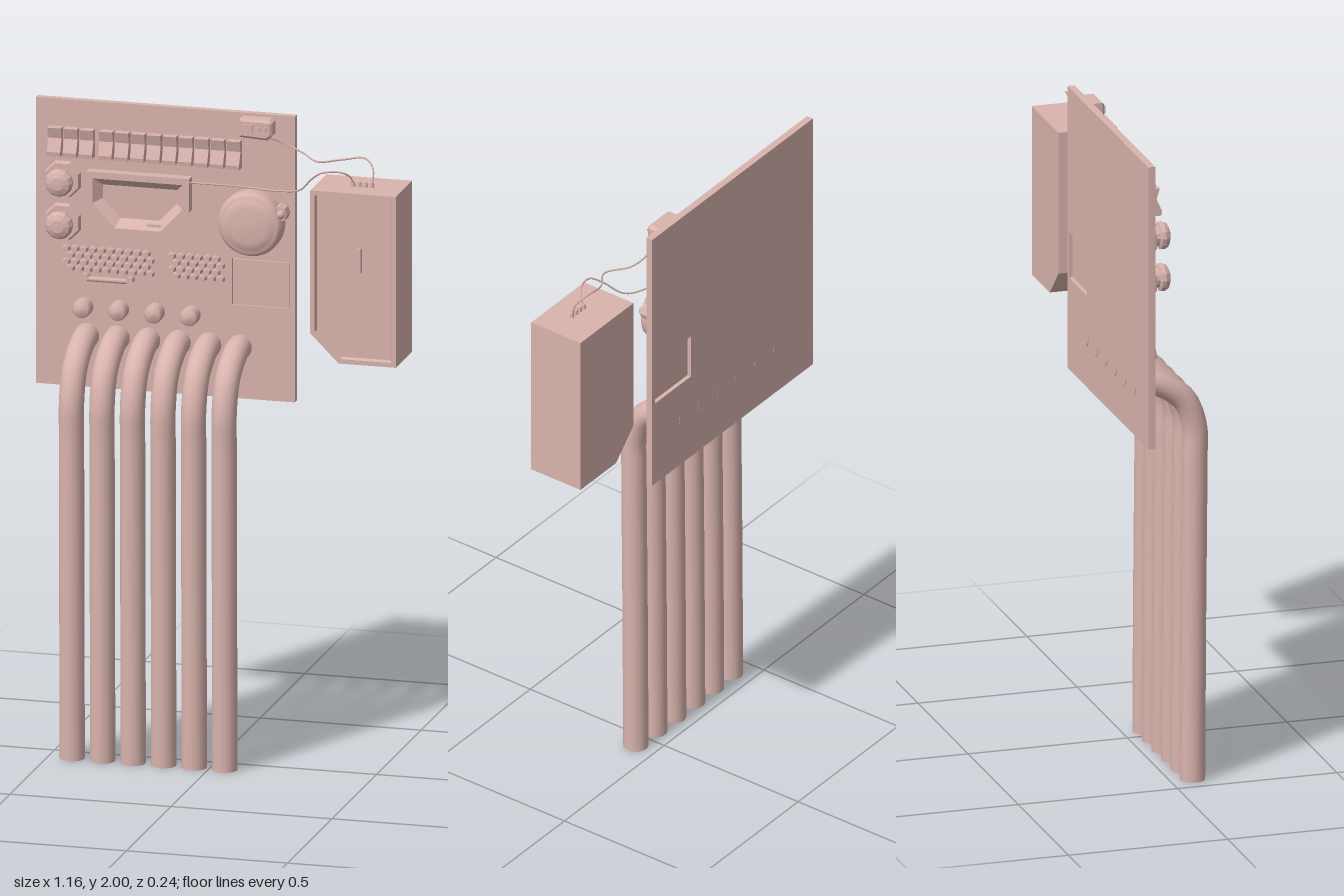
import * as THREE from 'three';

const mat = new THREE.MeshStandardMaterial({ color: 0xd9b3ad });
const flat = new THREE.MeshStandardMaterial({ color: 0xd9b3ad, flatShading: true });
const FACE = -0.097; // z of the panel front
const V = (x, y, z) => new THREE.Vector3(x, y, z);

function add(parent, name, geo, x = 0, y = 0, z = 0, m = mat) {
  const mesh = new THREE.Mesh(geo, m);
  mesh.name = name;
  mesh.position.set(x, y, z);
  parent.add(mesh);
  return mesh;
}

function group(parent, name) {
  const g = new THREE.Group();
  g.name = name;
  parent.add(g);
  return g;
}

// Shrinks a convex counter-clockwise outline by d
function inset(pts, d) {
  const n = pts.length;
  return pts.map((p, i) => {
    const a = pts[(i + n - 1) % n], b = pts[(i + 1) % n];
    const u = new THREE.Vector2(p[0] - a[0], p[1] - a[1]).normalize();
    const v = new THREE.Vector2(b[0] - p[0], b[1] - p[1]).normalize();
    const k = d / (1 + u.dot(v));
    return [p[0] - k * (u.y + v.y), p[1] + k * (u.x + v.x)];
  });
}

// Skins a list of [outline, z] sections and closes both ends
function loft(sections) {
  const pos = [], idx = [], n = sections[0][0].length, last = (sections.length - 1) * n;
  for (const [pts, z] of sections) for (const p of pts) pos.push(p[0], p[1], z);
  for (let s = 0; s < last; s += n)
    for (let i = 0; i < n; i++) {
      const j = (i + 1) % n;
      idx.push(s + i, s + j, s + n + j, s + i, s + n + j, s + n + i);
    }
  for (let i = 1; i < n - 1; i++) idx.push(0, i + 1, i, last, last + i, last + i + 1);
  const g = new THREE.BufferGeometry();
  g.setAttribute('position', new THREE.Float32BufferAttribute(pos, 3));
  g.setIndex(idx);
  const out = g.toNonIndexed();
  out.computeVertexNormals();
  return out;
}

// Turned part whose axis points to +z; profile is [radius, height]
function turned(profile, sides) {
  return new THREE.LatheGeometry(profile.map(p => new THREE.Vector2(p[0], p[1])), sides)
    .rotateX(Math.PI / 2);
}

const rect = (x0, y0, x1, y1) => [[x0, y0], [x1, y0], [x1, y1], [x0, y1]];
const toVec2 = pts => pts.map(p => new THREE.Vector2(p[0], p[1]));

export function createModel() {
  const root = new THREE.Group();
  root.name = 'controlPanel';

  // Back board with a window for the small screen
  const board = new THREE.Shape(toVec2(rect(-0.585, 1.11, 0.22, 2)));
  board.holes.push(new THREE.Path(toVec2(rect(0.025, 1.4, 0.205, 1.545).reverse())));
  add(root, 'backBoard', new THREE.ExtrudeGeometry(board, { depth: 0.022, bevelEnabled: false }), 0, 0, -0.119);
  add(root, 'screen', new THREE.BoxGeometry(0.176, 0.141, 0.012), 0.115, 1.4725, -0.102);

  // Six bent pipes running down to the ground
  const pipes = group(root, 'pipes');
  const bend = [[1.27, -0.12], [1.268, -0.07], [1.245, -0.01], [1.2, 0.045], [1.115, 0.076], [1, 0.077], [0.5, 0.073], [0, 0.07]];
  const pipeGeo = new THREE.TubeGeometry(
    new THREE.CatmullRomCurve3(bend.map(([y, z]) => V(0, y, z))), 48, 0.038, 20);
  const endGeo = new THREE.CircleGeometry(0.038, 20);
  for (let i = 0; i < 6; i++) {
    const x = -0.426 + i * 0.0948;
    add(pipes, 'pipe', pipeGeo, x);
    add(pipes, 'pipeFoot', endGeo, x, 0.001, 0.07).rotation.x = Math.PI / 2;
    add(pipes, 'pipeBackEnd', endGeo, x, 1.27, -0.1205).rotation.y = Math.PI;
  }

  // Row of rocker switches: three, then nine
  const switches = group(root, 'switches');
  const rocker = new THREE.Shape(toVec2([[0, 0.043], [0, -0.043], [0.035, -0.043], [0.037, -0.03], [0.02, 0.01], [0.03, 0.043]]));
  const rockerGeo = new THREE.ExtrudeGeometry(rocker, { depth: 0.042, bevelEnabled: false })
    .rotateY(-Math.PI / 2).translate(0.021, 0, 0);
  for (let i = 0; i < 12; i++)
    add(switches, 'rockerSwitch', rockerGeo, -0.521 + i * 0.0495 + (i > 2 ? 0.011 : 0), 1.872, FACE - 0.002, flat);

  // Two knobs on octagonal plates
  const knobs = group(root, 'knobs');
  const plateGeo = new THREE.CylinderGeometry(0.055, 0.061, 0.018, 8).rotateX(Math.PI / 2).rotateZ(Math.PI / 8);
  const knobGeo = turned([[0.03, 0], [0.03, 0.034], [0.042, 0.038], [0.043, 0.05], [0.036, 0.062], [0.02, 0.069], [0, 0.07]], 12);
  for (const y of [1.752, 1.62]) {
    add(knobs, 'knobPlate', plateGeo, -0.5, y, FACE + 0.007, flat);
    add(knobs, 'knob', knobGeo, -0.5, y, FACE, flat);
  }

  // Six-sided tray with a raised rim and sloping walls
  const tray = [[-0.34, 1.6], [-0.18, 1.6], [-0.1, 1.685], [-0.1, 1.79], [-0.42, 1.79], [-0.42, 1.685]];
  add(root, 'tray', loft([
    [tray, FACE - 0.002], [tray, -0.062], [inset(tray, 0.02), -0.062], [inset(tray, 0.045), -0.092],
  ]), 0, 0, 0, flat);
  add(root, 'trayLatch', new THREE.BoxGeometry(0.045, 0.01, 0.015), -0.21, 1.632, -0.08);

  // Round gauge with a side lug
  const gauge = group(root, 'gauge');
  gauge.position.set(0.09, 1.665, FACE);
  add(gauge, 'gaugeBody', turned([[0.1, -0.002], [0.101, 0.03], [0.096, 0.045], [0.086, 0.052], [0.08, 0.05],
    [0.076, 0.056], [0.055, 0.062], [0, 0.064]], 32));
  add(gauge, 'gaugeLug', new THREE.CylinderGeometry(0.024, 0.026, 0.036, 8).rotateX(Math.PI / 2), 0.09, 0.037, 0.018, flat);
  add(gauge, 'gaugeLugCap', new THREE.SphereGeometry(0.014, 10, 6), 0.096, 0.037, 0.036);

  // Staggered rows of small keys in two blocks
  const keys = group(root, 'keys');
  const keyGeo = new THREE.CylinderGeometry(0.01, 0.013, 0.022, 6).rotateX(Math.PI / 2);
  for (const [x0, count] of [[-0.488, 10], [-0.16, 6]])
    for (let r = 0; r < 4; r++)
      for (let c = 0; c < count; c++)
        add(keys, 'key', keyGeo, x0 + c * 0.0275 + (r % 2 ? 0.0135 : 0), 1.539 - r * 0.0205, FACE + 0.009, flat);

  // Small grab bar below the keys
  const bar = group(root, 'grabBar');
  add(bar, 'barRod', new THREE.CylinderGeometry(0.008, 0.008, 0.14, 8).rotateZ(Math.PI / 2), -0.355, 1.453, FACE + 0.022);
  for (const x of [-0.425, -0.287])
    add(bar, 'barPost', new THREE.CylinderGeometry(0.011, 0.011, 0.034, 10).rotateX(Math.PI / 2), x, 1.457, FACE + 0.014);

  // Four push buttons
  const buttons = group(root, 'buttons');
  const buttonGeo = turned([[0.028, -0.002], [0.028, 0.035], [0.023, 0.044], [0, 0.048]], 16);
  for (let i = 0; i < 4; i++) add(buttons, 'pushButton', buttonGeo, -0.434 + i * 0.111, 1.36, FACE);

  // Socket box in the upper corner
  const socket = group(root, 'socket');
  const socketLine = [[0.058, 1.935], [0.145, 1.93], [0.16, 1.945], [0.16, 1.985], [0.15, 1.992], [0.058, 1.992]];
  add(socket, 'socketBox', loft([
    [socketLine, FACE - 0.002], [socketLine, -0.06], [inset(socketLine, 0.007), -0.053],
  ]), 0, 0, 0, flat);
  add(socket, 'socketWindow', new THREE.BoxGeometry(0.03, 0.025, 0.01), 0.087, 1.965, -0.052);
  for (const x of [0.118, 0.138])
    add(socket, 'socketPin', new THREE.CylinderGeometry(0.007, 0.007, 0.014, 8).rotateX(Math.PI / 2), x, 1.965, -0.05);

  // Separate cabinet with a recessed door and a cut lower corner
  const cabinet = group(root, 'cabinet');
  const outline = [[0.4, 1.29], [0.578, 1.29], [0.578, 1.822], [0.312, 1.822], [0.312, 1.378]];
  add(cabinet, 'cabinetBody', loft([
    [outline, -0.118], [outline, 0.066], [inset(outline, 0.014), 0.066], [inset(outline, 0.018), 0.052],
  ]), 0, 0, 0, flat);
  add(cabinet, 'doorHandle', new THREE.BoxGeometry(0.012, 0.075, 0.016), 0.463, 1.612, 0.058);
  for (let i = 0; i < 4; i++)
    add(cabinet, 'terminal', new THREE.CylinderGeometry(0.006, 0.008, 0.016, 8), 0.423 + i * 0.0195, 1.829, -0.014);

  // Two loose wires from the board to the cabinet terminals
  const wires = group(root, 'wires');
  const upper = [V(0.14, 1.945, -0.055), V(0.19, 1.92, -0.08), V(0.25, 1.9, -0.066), V(0.315, 1.89, -0.012),
    V(0.38, 1.892, -0.047), V(0.45, 1.9, -0.052), V(0.481, 1.875, -0.03), V(0.481, 1.825, -0.014)];
  const lower = [V(-0.11, 1.778, -0.068), V(0.05, 1.776, -0.075), V(0.17, 1.775, -0.062), V(0.25, 1.79, -0.036),
    V(0.3, 1.84, 0.005), V(0.34, 1.868, 0.026), V(0.395, 1.87, 0.016), V(0.42, 1.85, -0.004), V(0.423, 1.825, -0.014)];
  for (const path of [upper, lower])
    add(wires, 'wire', new THREE.TubeGeometry(new THREE.CatmullRomCurve3(path), 48, 0.0028, 6));

  return root;
}
